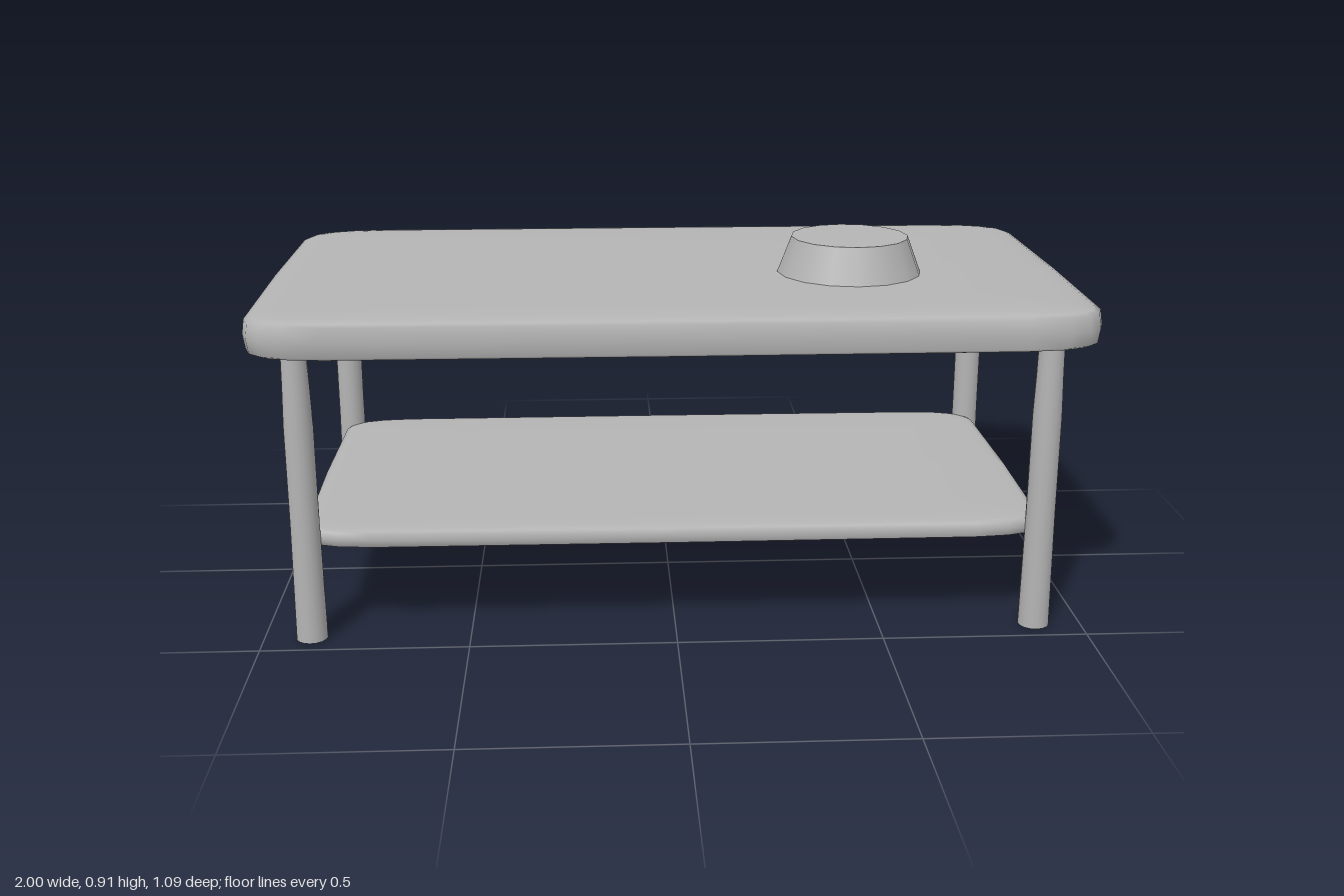
import * as THREE from 'three';

const grey = new THREE.MeshStandardMaterial({ color: 0xb4b4b4 });
grey.name = 'plain grey';

// Softly squared slab: a sphere pushed out towards a box
function slab(name, halfX, halfY, halfZ, y) {
  const squash = (v, e) => Math.sign(v) * Math.pow(Math.abs(v) < 1e-6 ? 0 : Math.abs(v), e);
  const geometry = new THREE.SphereGeometry(1, 24, 16).rotateY(Math.PI);
  const p = geometry.attributes.position;
  for (let i = 0; i < p.count; i++) {
    const x = p.getX(i), z = p.getZ(i);
    const ring = Math.hypot(x, z);
    const r = squash(ring, 0.25);
    const c = ring < 1e-6 ? 0 : x / ring, s = ring < 1e-6 ? 0 : z / ring;
    p.setXYZ(i, halfX * r * squash(c, 0.15), halfY * squash(p.getY(i), 0.25), halfZ * r * squash(s, 0.15));
  }
  geometry.computeVertexNormals();
  const mesh = new THREE.Mesh(geometry, grey);
  mesh.name = name;
  mesh.position.y = y;
  return mesh;
}

export function createModel() {
  const model = new THREE.Group();
  model.name = 'coffeeTable';

  model.add(slab('tableTop', 1, 0.053, 0.545, 0.768));
  model.add(slab('lowerShelf', 0.9, 0.026, 0.45, 0.256));

  // Round legs, slimmer at the top, with a flat closed foot
  const profile = [[0.038, 0], [0.037, 0.1], [0.035, 0.3], [0.035, 0.54], [0.032, 0.64], [0.03, 0.75]]
    .map(([r, y]) => new THREE.Vector2(r, y));
  const legGeometry = new THREE.LatheGeometry(profile, 16);
  const footGeometry = new THREE.CircleGeometry(0.038, 16).rotateX(Math.PI / 2);
  for (const x of [-1, 1]) {
    for (const z of [-1, 1]) {
      const leg = new THREE.Group();
      leg.name = (z > 0 ? 'front' : 'back') + (x > 0 ? 'Left' : 'Right') + 'Leg';
      leg.add(new THREE.Mesh(legGeometry, grey), new THREE.Mesh(footGeometry, grey));
      leg.children[0].name = 'legShaft';
      leg.children[1].name = 'legFoot';
      leg.position.set(x * 0.885, 0, z * 0.428);
      model.add(leg);
    }
  }

  // Tapered dish standing on the top
  const dish = new THREE.Mesh(new THREE.CylinderGeometry(0.146, 0.182, 0.094, 16), grey);
  dish.name = 'dish';
  dish.position.set(0.45, 0.863, 0.09);
  model.add(dish);

  return model;
}
